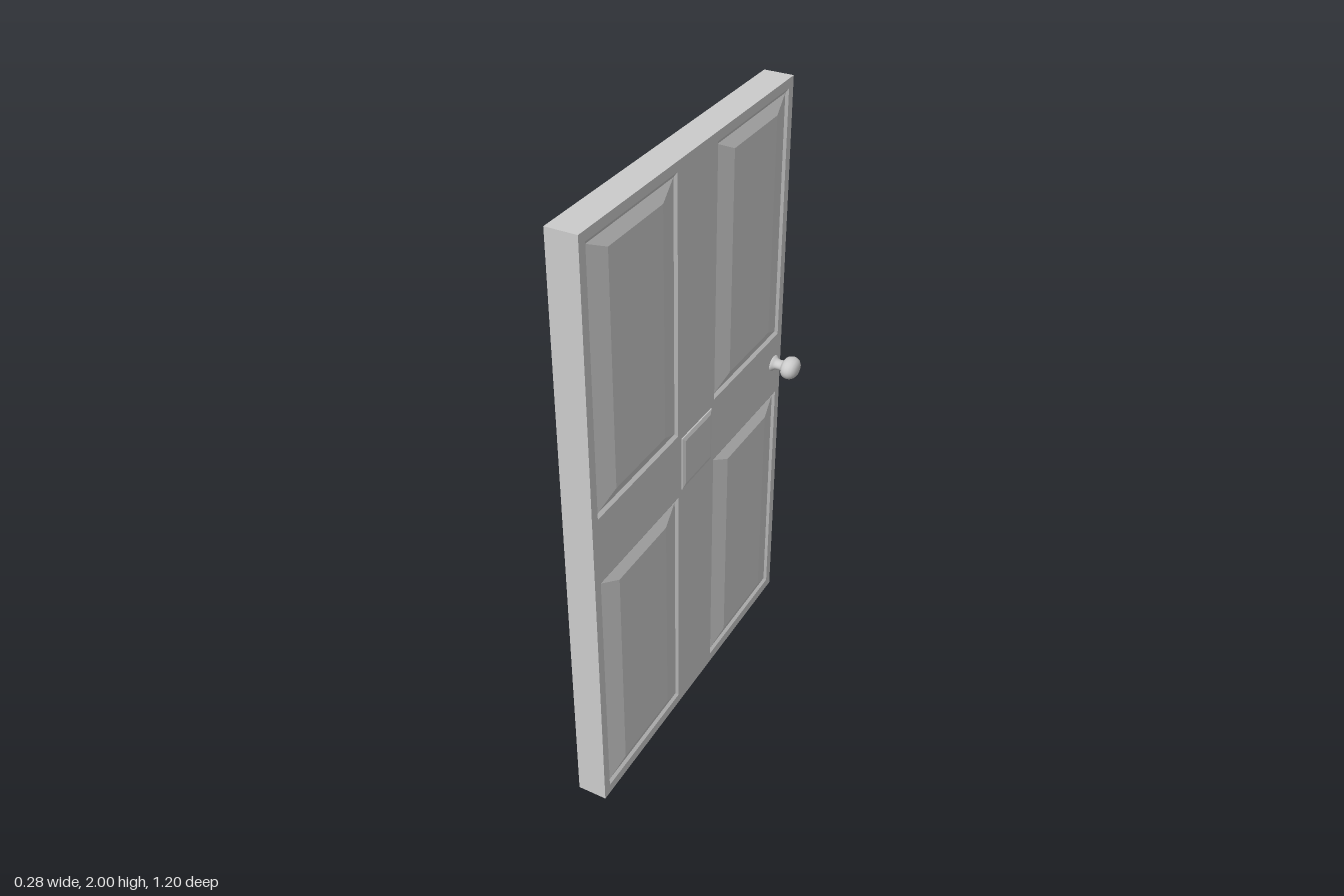
import * as THREE from 'three';

const material = new THREE.MeshStandardMaterial({ color: 0xcccccc, side: THREE.DoubleSide });
const HALF_WIDTH = 0.6, HEIGHT = 2, HALF_DEPTH = 0.049;

// Panel openings: centre x, centre y, half width, half height
const openings = [];
for (const x of [-0.3425, 0.3425]) {
  openings.push([x, 1.545, 0.2275, 0.425], [x, 0.4625, 0.2275, 0.4275]);
}

function mesh(name, geometry) {
  const m = new THREE.Mesh(geometry, material);
  m.name = name;
  return m;
}

function trace(path, x, y, hw, hh) {
  path.moveTo(x - hw, y - hh);
  path.lineTo(x + hw, y - hh);
  path.lineTo(x + hw, y + hh);
  path.lineTo(x - hw, y + hh);
  path.closePath();
  return path;
}

// Rectangles [half width, half height, z] joined by sloping strips, last one capped
function steppedRect(rings) {
  const corners = rings.map(([w, h, z]) => [[-w, -h, z], [w, -h, z], [w, h, z], [-w, h, z]]);
  const pos = [];
  const quad = (a, b, c, d) => pos.push(...a, ...b, ...c, ...a, ...c, ...d);
  for (let r = 0; r < corners.length - 1; r++) {
    for (let i = 0; i < 4; i++) {
      const j = (i + 1) % 4;
      quad(corners[r][i], corners[r][j], corners[r + 1][j], corners[r + 1][i]);
    }
  }
  quad(...corners[corners.length - 1]);
  const g = new THREE.BufferGeometry();
  g.setAttribute('position', new THREE.Float32BufferAttribute(pos, 3));
  g.computeVertexNormals();
  return g;
}

function knobGeometry() {
  // Radius and distance from the middle of the door
  const profile = [
    [0.034, 0.045], [0.033, 0.051], [0.026, 0.056], [0.021, 0.063], [0.02, 0.072],
    [0.021, 0.083], [0.027, 0.088], [0.037, 0.092], [0.043, 0.099], [0.046, 0.11],
    [0.045, 0.12], [0.039, 0.13], [0.029, 0.137], [0.015, 0.1405], [0, 0.141],
  ].map(([r, d]) => new THREE.Vector2(r, d));
  const g = new THREE.LatheGeometry(profile, 32);
  g.rotateX(Math.PI / 2);
  g.scale(1, 0.8, 1);
  return g;
}

// Raised panels, centre block and knob of one face
function createFace(name, knobX) {
  const face = new THREE.Group();
  face.name = name;
  for (const [x, y, w, h] of openings) {
    const panel = mesh('raisedPanel', steppedRect([
      [w, h, HALF_DEPTH],
      [w - 0.01, h - 0.0125, 0.042],
      [w - 0.09, h - 0.0525, 0.056],
    ]));
    panel.position.set(x, y, 0);
    face.add(panel);
  }
  const block = mesh('centreBlock', steppedRect([
    [0.097, 0.097, HALF_DEPTH - 0.002],
    [0.094, 0.094, 0.052],
    [0.08, 0.08, 0.056],
  ]));
  block.position.y = 1.004;
  const knob = mesh('doorKnob', knobGeometry());
  knob.position.set(knobX, 1.017, 0);
  face.add(block, knob);
  return face;
}

export function createModel() {
  const door = new THREE.Group();
  door.name = 'door';

  // Frame with four openings
  const outline = trace(new THREE.Shape(), 0, HEIGHT / 2, HALF_WIDTH, HEIGHT / 2);
  outline.holes = openings.map((o) => trace(new THREE.Path(), ...o));
  const frame = new THREE.ExtrudeGeometry(outline, { depth: 2 * HALF_DEPTH, bevelEnabled: false });
  frame.translate(0, 0, -HALF_DEPTH);
  door.add(mesh('doorFrame', frame));

  // Both faces, knobs on the same edge
  const outer = createFace('outerFace', 0.547);
  const inner = createFace('innerFace', -0.547);
  inner.rotation.y = Math.PI;
  door.add(outer, inner);

  // The door stands edge-on to the front
  door.rotation.y = Math.PI / 2;
  const model = new THREE.Group();
  model.name = 'panelDoor';
  model.add(door);
  return model;
}
